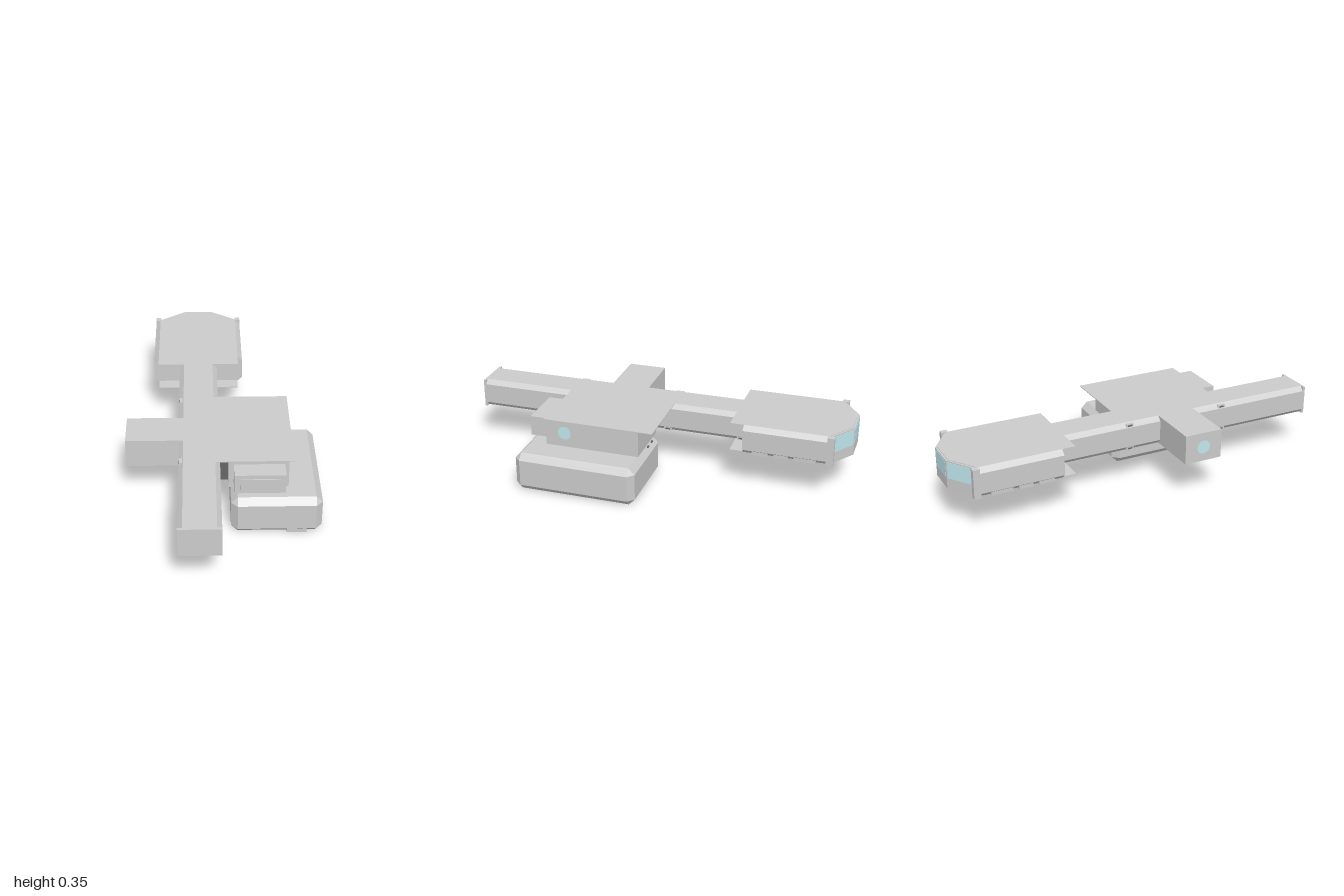
import * as THREE from 'three';
import { ConvexGeometry } from 'three/addons/geometries/ConvexGeometry.js';

const FLOOR = 0.2, ROOF = 0.35, CX = -0.115;

export function createModel() {
  const model = new THREE.Group();
  const grey = new THREE.MeshStandardMaterial({ color: 0xcccccc, flatShading: true, side: THREE.DoubleSide });
  const glass = new THREE.MeshStandardMaterial({ color: 0xbfe8ee, side: THREE.DoubleSide });
  const dark = new THREE.MeshStandardMaterial({ color: 0x666666, side: THREE.DoubleSide });

  function add(name, geometry, material = grey) {
    const mesh = new THREE.Mesh(geometry, material);
    mesh.name = name;
    model.add(mesh);
    return mesh;
  }
  // Box given by its extents
  function box(name, x0, x1, y0, y1, z0, z1, material) {
    const g = new THREE.BoxGeometry(x1 - x0, y1 - y0, z1 - z0);
    g.translate((x0 + x1) / 2, (y0 + y1) / 2, (z0 + z1) / 2);
    return add(name, g, material);
  }
  // Hull section with chamfered long edges, running along z
  function hull(name, half, cx, cy, z0, z1) {
    const s = new THREE.Shape([
      [-half + cx, FLOOR], [half - cx, FLOOR], [half, FLOOR + cy], [half, ROOF - cy],
      [half - cx, ROOF], [-half + cx, ROOF], [-half, ROOF - cy], [-half, FLOOR + cy],
    ].map(([x, y]) => new THREE.Vector2(x, y)));
    const g = new THREE.ExtrudeGeometry(s, { depth: z1 - z0, bevelEnabled: false });
    return add(name, g.translate(CX, 0, z0));
  }
  // Horizontal slab from a plan outline of x, z points
  function slab(name, points, y0, y1) {
    const s = new THREE.Shape(points.map(([x, z]) => new THREE.Vector2(x, z)));
    const g = new THREE.ExtrudeGeometry(s, { depth: y1 - y0, bevelEnabled: false });
    return add(name, g.rotateX(Math.PI / 2).translate(0, y1, 0));
  }

  // Long corridor with its end flange
  hull('corridor', 0.1, 0.023, 0.023, -0.48, 0.99);
  box('corridorEnd', CX - 0.1, CX + 0.1, FLOOR, ROOF, 0.988, 1);

  // Side arm with a round porthole in its end
  box('sideArm', -0.475, CX - 0.07, FLOOR, ROOF, 0.12, 0.32);
  add('armPorthole', new THREE.CircleGeometry(0.035, 24), glass)
    .geometry.rotateY(-Math.PI / 2).translate(-0.477, 0.275, 0.22);

  // Central room below a thin overhanging roof
  box('roomWalls', 0.025, 0.315, FLOOR, ROOF - 0.003, 0.01, 0.5);
  box('roomPassage', -0.03, 0.03, FLOOR, ROOF - 0.01, 0.06, 0.44, dark);
  box('roomRoof', CX - 0.077, 0.34, ROOF - 0.004, ROOF, -0.07, 0.5);
  add('roomPorthole', new THREE.CircleGeometry(0.035, 24), glass)
    .geometry.rotateY(Math.PI / 2).translate(0.317, 0.275, 0.4);

  // Bay on the room's front, with a raised frame
  box('frontBay', 0.05, 0.295, 0.23, 0.333, 0.49, 0.59);
  box('frontBayPanel', 0.08, 0.265, 0.252, 0.312, 0.58, 0.596);

  // Lower pod: a box chamfered on every edge
  const half = [0.22, 0.1, 0.315], k = 0.032, points = [];
  for (const sx of [-1, 1]) for (const sy of [-1, 1]) for (const sz of [-1, 1]) {
    for (let face = 0; face < 3; face++) {
      const p = half.map((h, i) => (i === face ? h : h - k));
      points.push(new THREE.Vector3(sx * p[0], sy * p[1], sz * p[2]));
    }
  }
  add('lowerPod', new ConvexGeometry(points)).position.set(0.255, 0.1, 0.3);
  box('podHatch', 0.305, 0.4, 0.006, 0.03, 0.57, 0.612);
  for (const x of [0.12, 0.18]) box('podVent', x, x + 0.02, 0.198, 0.203, -0.005, 0.003, dark);

  // Rear cabin: floor and roof plates reach forward past the walls
  hull('cabinBody', 0.24, 0.025, 0.023, -0.9, -0.47);
  const plan = [[-0.215, -0.4], [0.215, -0.4], [0.215, -0.895], [0.077, -0.99], [-0.077, -0.99], [-0.215, -0.895]]
    .map(([x, z]) => [CX + x, z]);
  slab('cabinRoof', plan, ROOF - 0.004, ROOF);
  slab('cabinFloor', plan, FLOOR, FLOOR + 0.004);

  // Faceted nose with a window in each of its three panels
  const nose = [[-0.225, -0.9], [-0.077, -1], [0.077, -1], [0.225, -0.9]];
  slab('noseWall', nose.map(([x, z]) => [CX + x, z]), FLOOR, ROOF - 0.003);
  for (let i = 0; i < 3; i++) {
    const [x0, z0] = nose[i], [x1, z1] = nose[i + 1];
    const dx = x1 - x0, dz = z1 - z0, length = Math.hypot(dx, dz);
    const pane = add('noseWindow', new THREE.BoxGeometry(length - 0.016, 0.083, 0.003), glass);
    pane.position.set(CX + (x0 + x1) / 2, 0.299, (z0 + z1) / 2);
    pane.rotation.y = Math.atan2(-dz, dx);
  }
  for (const s of [-1, 1]) {
    const span = (a, b) => [CX + Math.min(s * a, s * b), CX + Math.max(s * a, s * b)];
    box('cabinPost', ...span(0.212, 0.24), FLOOR, ROOF, -0.925, -0.89);
    // Underside equipment blocks
    for (const [z0, z1] of [[-0.6, -0.52], [-0.7, -0.63], [-0.84, -0.73]]) {
      box('undersideBlock', ...span(0.2, 0.236), FLOOR, 0.225, z0, z1);
    }
    // Small clamps tucked on the corridor chamfers
    for (const z of s < 0 ? [-0.05, 0.48] : [-0.04, -0.43]) {
      for (const y of [0.213, 0.337]) {
        box('clampBase', ...span(0.078, 0.098), y - 0.008, y + 0.008, z - 0.02, z + 0.02);
        const pin = add('clampPin', new THREE.CylinderGeometry(0.006, 0.006, 0.024, 8), dark);
        pin.rotation.x = Math.PI / 2;
        pin.position.set(CX + s * 0.094, y, z);
      }
    }
  }
  return model;
}
